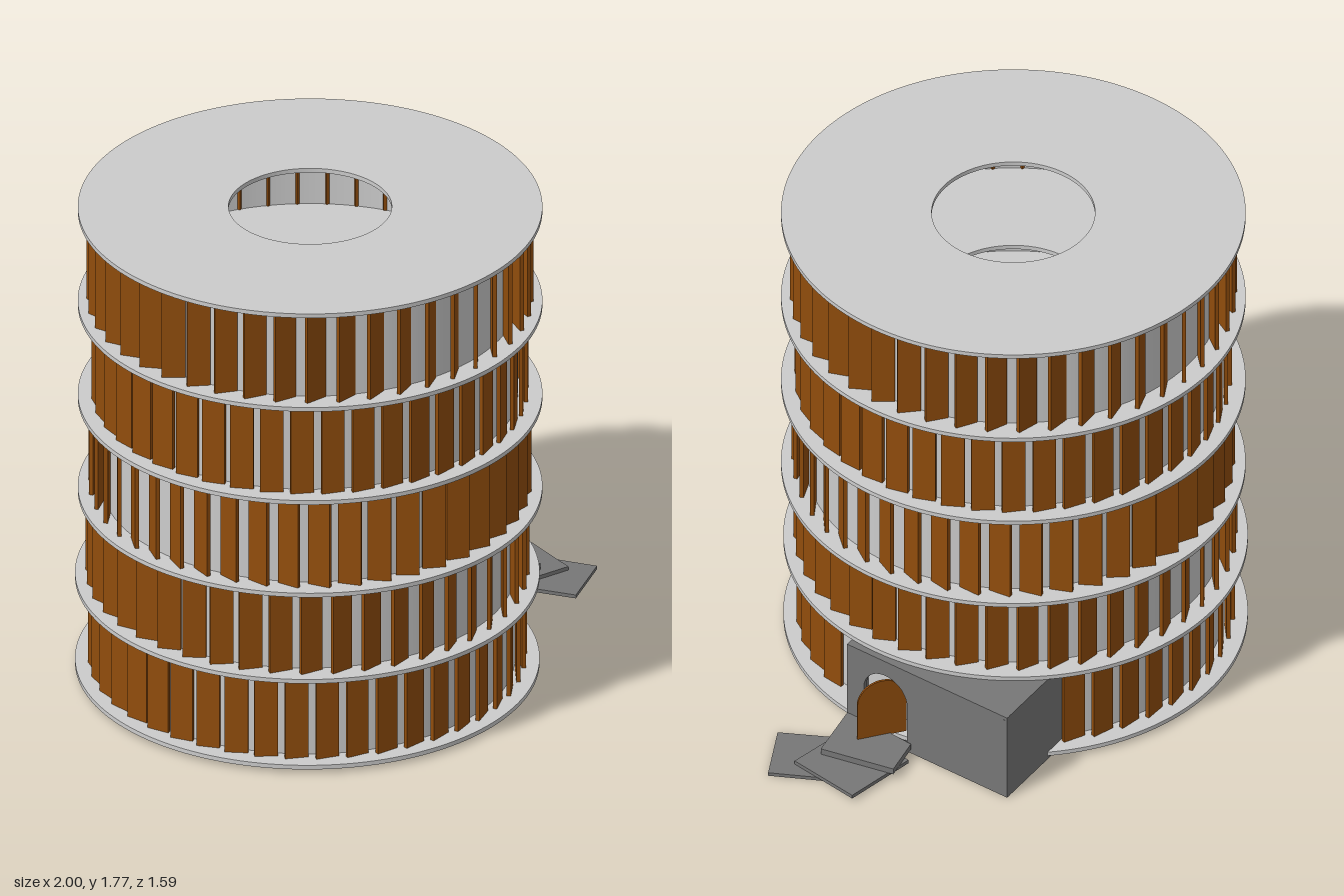
import * as THREE from 'three';
import { toCreasedNormals } from 'three/addons/utils/BufferGeometryUtils.js';

const grey = new THREE.MeshStandardMaterial({ color: 0xcccccc });
const wallGrey = new THREE.MeshStandardMaterial({ color: 0xcccccc, side: THREE.DoubleSide });
const stone = new THREE.MeshStandardMaterial({ color: 0x777777 });
const wood = new THREE.MeshStandardMaterial({ color: 0x914d0c });

function add(parent, name, geometry, material, x = 0, y = 0, z = 0, turn = 0) {
  const mesh = new THREE.Mesh(geometry, material);
  mesh.name = name;
  mesh.position.set(x, y, z);
  mesh.rotation.y = turn;
  parent.add(mesh);
  return mesh;
}

// Flat plate from [x, z] corners
function plate(corners, height) {
  const shape = new THREE.Shape(corners.map(([x, z]) => new THREE.Vector2(x, -z)));
  return new THREE.ExtrudeGeometry(shape, { depth: height, bevelEnabled: false }).rotateX(-Math.PI / 2);
}

// Round floor plate, optionally with an open centre
function floorDisc(radius, hole, height) {
  const shape = new THREE.Shape().absarc(0, 0, radius, 0, Math.PI * 2);
  if (hole) shape.holes.push(new THREE.Path().absarc(0, 0, hole, 0, Math.PI * 2, true));
  const g = new THREE.ExtrudeGeometry(shape, { depth: height, bevelEnabled: false, curveSegments: 96 });
  return toCreasedNormals(g.rotateX(-Math.PI / 2), 0.6);
}

// Round-topped outline standing on y = y0
function arch(path, cx, y0, halfWidth, top) {
  path.moveTo(cx - halfWidth, y0);
  path.lineTo(cx + halfWidth, y0);
  path.lineTo(cx + halfWidth, top - halfWidth);
  path.absarc(cx, top - halfWidth, halfWidth, 0, Math.PI, false);
  path.closePath();
  return path;
}

export function createModel() {
  const model = new THREE.Group();
  const T = 0.016;
  const floors = [0.015, 0.347, 0.675, 1.033, 1.393, 1.755];
  const centre = i => (i < 2 ? -0.204 : -0.19);

  // Floor plates
  floors.forEach((y, i) =>
    add(model, 'floorPlate', floorDisc(0.796, i ? 0.28 : 0, T), grey, centre(i), y, 0));

  // Storeys: round wall with turned timber louvres, each storey at its own angle
  const storeys = [
    { tilt: 14, shift: 0.045 },
    { tilt: 28, shift: -0.01 },
    { tilt: -26, shift: 0.01 },
    { tilt: 10, shift: -0.05 },
    { tilt: 38, shift: -0.005 },
  ];
  const COUNT = 44, R = 0.735;
  storeys.forEach(({ tilt, shift }, i) => {
    const storey = new THREE.Group();
    storey.name = 'storey' + (i + 1);
    storey.position.x = centre(i);
    model.add(storey);
    const y0 = floors[i] + T, h = floors[i + 1] - y0, mid = y0 + h / 2;
    add(storey, 'roundWall', new THREE.CylinderGeometry(0.712, 0.712, h, 96, 1, true), wallGrey, 0, mid, 0);
    const louvre = new THREE.BoxGeometry(0.081, h, 0.014);
    for (let k = 0; k < COUNT; k++) {
      const a = ((k + 0.5) / COUNT) * Math.PI * 2 + shift / R;
      const deg = THREE.MathUtils.radToDeg(a);
      if (i === 0 && deg > 67 && deg < 136) continue; // gap for the porch
      add(storey, 'louvre', louvre, wood, R * Math.sin(a), mid, R * Math.cos(a), a + THREE.MathUtils.degToRad(tilt));
    }
  });

  // Entrance porch
  const porch = new THREE.Group();
  porch.name = 'porch';
  model.add(porch);
  const A = [0.605, 0.165], B = [0.655, -0.52], C = [0.27, -0.52], D = [0.40, 0.165];
  add(porch, 'porchFloor', plate([A, B, C, D], 0.014), stone, 0, 0.001, 0);
  add(porch, 'porchRoof', plate([A, B, C, D], 0.014), stone, 0, 0.332, 0);
  add(porch, 'porchBackWall', new THREE.BoxGeometry(0.385, 0.331, 0.015), stone, 0.4625, 0.1675, -0.5125);
  add(porch, 'porchFrontWall', new THREE.BoxGeometry(0.205, 0.331, 0.015), stone, 0.5025, 0.1675, 0.1575);

  // Door wall with arched opening
  const dx = B[0] - A[0], dz = B[1] - A[1], len = Math.hypot(dx, dz);
  const face = new THREE.Shape([[0, 0.001], [len, 0.001], [len, 0.346], [0, 0.346]].map(p => new THREE.Vector2(...p)));
  face.holes.push(arch(new THREE.Path(), 0.165, 0.03, 0.093, 0.285));
  const faceGeo = new THREE.ExtrudeGeometry(face, { depth: 0.015, bevelEnabled: false, curveSegments: 24 });
  faceGeo.translate(0, 0, -0.015);
  add(porch, 'doorWall', faceGeo, stone, A[0], 0, A[1], Math.atan2(-dz, dx));

  // Pivoting door standing half open
  const doorGeo = new THREE.ExtrudeGeometry(arch(new THREE.Shape(), 0, 0.045, 0.088, 0.282),
    { depth: 0.008, bevelEnabled: false, curveSegments: 24 });
  doorGeo.translate(0, 0, -0.004);
  add(porch, 'door', doorGeo, wood, 0.642, 0, 0, -Math.atan2(0.11, 0.137));

  // Loosely laid entrance steps
  const steps = [
    { y: 0.027, c: [[0.595, 0.165], [0.825, 0.13], [0.785, -0.14], [0.635, -0.115]], h: 0.023 },
    { y: 0.013, c: [[0.63, 0.125], [0.905, 0.185], [0.96, -0.085], [0.69, -0.14]], h: 0.014 },
    { y: 0, c: [[0.70, 0.14], [0.788, 0.33], [0.995, 0.235], [0.91, 0.045]], h: 0.013 },
  ];
  steps.forEach(s => add(porch, 'step', plate(s.c, s.h), stone, 0, s.y, 0));

  return model;
}
